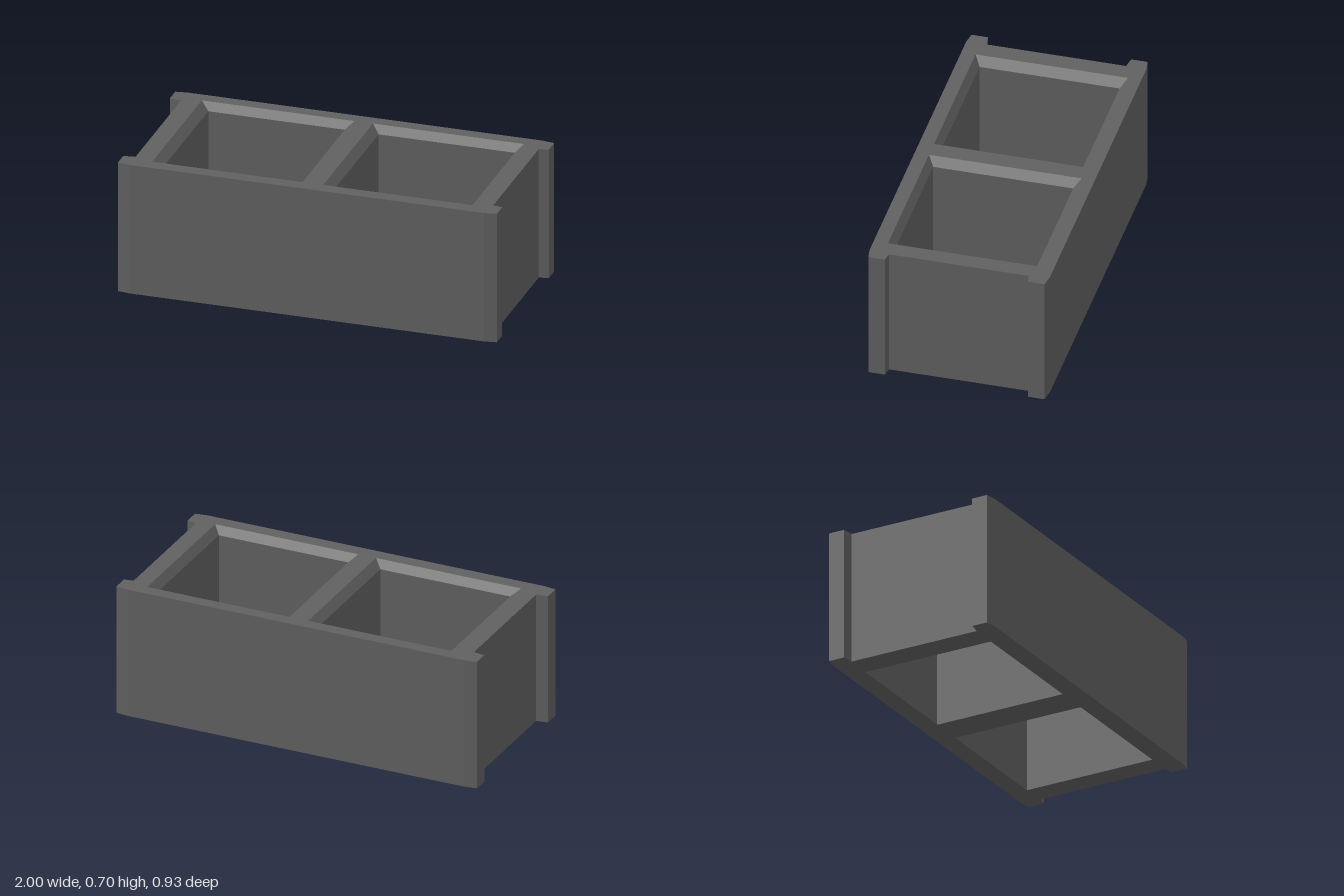
import * as THREE from 'three';

const H = 0.705;        // block height
const BEVEL_Y = 0.665;  // where the cell rims start to flare

// Plan points are [x, -z], so that counter-clockwise means seen from above.
const toVectors = (pts) => pts.map(([x, y]) => new THREE.Vector2(x, y));

// Clockwise rectangle, so walls built on it face into the cell.
const rect = (x0, x1, z0, z1) => [[x0, -z1], [x0, -z0], [x1, -z0], [x1, -z1]];

// Flat-shaded band of quads through a stack of matching loops.
function loopWalls(rings) {
  const pos = [];
  for (let r = 0; r + 1 < rings.length; r++) {
    const lo = rings[r], hi = rings[r + 1], n = lo.pts.length;
    const at = (ring, i) => [ring.pts[i % n][0], ring.y, -ring.pts[i % n][1]];
    for (let i = 0; i < n; i++) {
      const a = at(lo, i), b = at(lo, i + 1), c = at(hi, i + 1), d = at(hi, i);
      pos.push(...a, ...b, ...c, ...a, ...c, ...d);
    }
  }
  const geo = new THREE.BufferGeometry();
  geo.setAttribute('position', new THREE.Float32BufferAttribute(pos, 3));
  geo.computeVertexNormals();
  return geo;
}

// Horizontal face of the block with the cell openings cut out.
function plate(outline, holes, y, up) {
  const shape = new THREE.Shape(toVectors(outline));
  holes.forEach((h) => shape.holes.push(new THREE.Path(toVectors(h))));
  const geo = new THREE.ShapeGeometry(shape).rotateX(-Math.PI / 2).translate(0, y, 0);
  if (!up) {
    const idx = geo.index;
    for (let i = 0; i < idx.count; i += 3) {
      const b = idx.getX(i + 1);
      idx.setX(i + 1, idx.getX(i + 2));
      idx.setX(i + 2, b);
    }
    geo.computeVertexNormals();
  }
  return geo;
}

export function createModel() {
  const block = new THREE.Group();
  block.name = 'hollowBlock';
  const material = new THREE.MeshStandardMaterial({ color: 0x606060 });
  const add = (name, geo) => {
    const mesh = new THREE.Mesh(geo, material);
    mesh.name = name;
    block.add(mesh);
  };

  // Outline: long side walls with chamfered lugs, and recessed ends
  const end = (s, recess) => [
    [0.935 * s, -0.467], [s, -0.457], [s, -0.371], [recess, -0.362],
    [recess, 0.362], [s, 0.371], [s, 0.457], [0.935 * s, 0.467],
  ];
  const outline = [...end(1, 0.95), ...end(-1, -0.938).reverse()];

  // Two cells: straight shaft below, flared rim at the top
  const cells = [
    { name: 'rightCell', shaft: rect(-0.795, -0.075, -0.366, 0.36), rim: rect(-0.84, -0.035, -0.398, 0.393) },
    { name: 'leftCell', shaft: rect(0.104, 0.822, -0.366, 0.36), rim: rect(0.063, 0.858, -0.398, 0.393) },
  ];

  add('outerWalls', loopWalls([{ pts: outline, y: 0 }, { pts: outline, y: H }]));
  add('topFace', plate(outline, cells.map((c) => c.rim), H, true));
  add('bottomFace', plate(outline, cells.map((c) => c.shaft), 0, false));
  for (const { name, shaft, rim } of cells) {
    add(name + 'Walls', loopWalls([{ pts: shaft, y: 0 }, { pts: shaft, y: BEVEL_Y }]));
    add(name + 'Rim', loopWalls([{ pts: shaft, y: BEVEL_Y }, { pts: rim, y: H }]));
  }
  return block;
}
